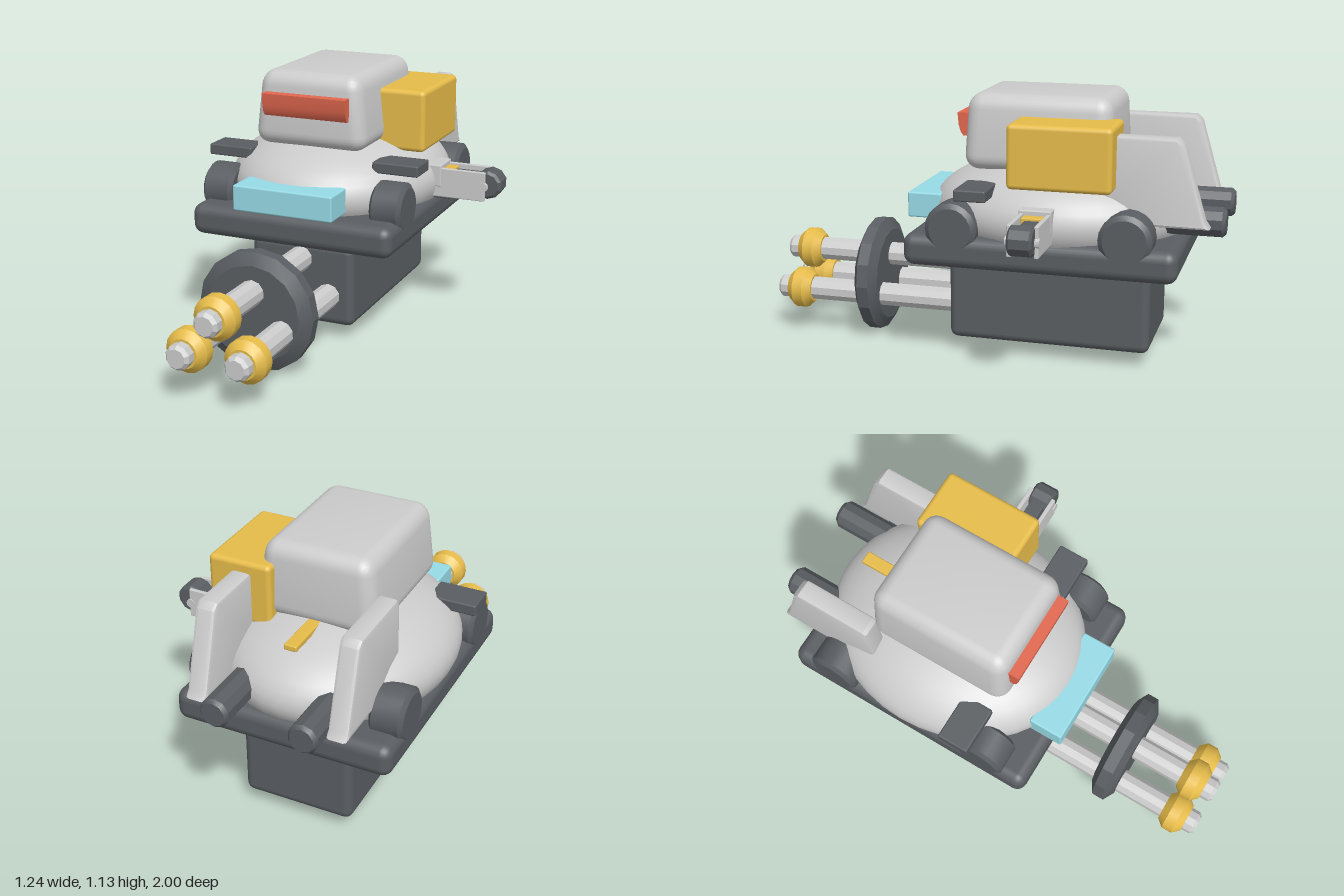
import * as THREE from 'three';
import { mergeVertices, toCreasedNormals } from 'three/addons/utils/BufferGeometryUtils.js';
import { RoundedBoxGeometry } from 'three/addons/geometries/RoundedBoxGeometry.js';

const CX = -0.133; // symmetry axis of the hull

const mat = (color) => new THREE.MeshStandardMaterial({ color });
const GREY = mat(0xcccccc), DARK = mat(0x5a5e62), YELLOW = mat(0xe6bc4a);
const RED = mat(0xe2684f), CYAN = mat(0x97dbe6);

export function createModel() {
  const model = new THREE.Group();
  model.name = 'hoverTank';

  const add = (name, geo, material, x = 0, y = 0, z = 0, parent = model) => {
    const mesh = new THREE.Mesh(geo, material);
    mesh.name = name;
    mesh.position.set(x, y, z);
    parent.add(mesh);
    return mesh;
  };

  // Rounded box given by its min and max corners
  const box = (name, material, [x0, y0, z0], [x1, y1, z1], r = 0.01, seg = 2, parent = model) =>
    add(name, new RoundedBoxGeometry(x1 - x0, y1 - y0, z1 - z0, seg, r), material,
      (x0 + x1) / 2, (y0 + y1) / 2, (z0 + z1) / 2, parent);

  // Turned part along +z; the profile is a list of [radius, z]
  const turned = (profile, sides, crease = 0.6) => {
    const points = profile.map(([r, z]) => new THREE.Vector2(r, z));
    const geo = new THREE.LatheGeometry(points, sides);
    geo.rotateX(Math.PI / 2);
    return toCreasedNormals(geo, crease);
  };

  // Side silhouette in (z, y), extruded across x with a small bevel
  const sideExtrude = (outline, width, bevel) => {
    const shape = new THREE.Shape(outline.map(([z, y]) => new THREE.Vector2(-z, y)));
    const geo = new THREE.ExtrudeGeometry(shape, {
      depth: width - 2 * bevel, bevelEnabled: bevel > 0, bevelSize: bevel,
      bevelThickness: bevel, bevelOffset: -bevel, bevelSegments: 2,
    });
    geo.translate(0, 0, -width / 2 + bevel);
    geo.rotateY(Math.PI / 2);
    return toCreasedNormals(geo, 0.5);
  };

  // Hull: ellipsoid on a rounded deck, with a box below
  const hull = new THREE.SphereGeometry(1, 40, 24);
  hull.scale(0.473, 0.235, 0.56);
  add('hull', hull, GREY, CX, 0.63, -0.28);
  box('deck', DARK, [-0.59, 0.435, -0.84], [0.325, 0.57, 0.3], 0.045, 3);
  box('lowerHousing', DARK, [-0.37, 0.06, -0.705], [0.105, 0.42, 0.165], 0.035, 3);

  // Cabin: rounded box narrowing towards the roof
  let cabin = new RoundedBoxGeometry(0.52, 0.32, 0.64, 4, 0.065);
  cabin.deleteAttribute('uv');
  const p = cabin.attributes.position;
  for (let i = 0; i < p.count; i++) {
    const t = p.getY(i) / 0.32 + 0.5;
    p.setX(i, p.getX(i) * (1 - 0.13 * t));
    p.setZ(i, p.getZ(i) * (1 - 0.05 * t));
  }
  cabin.deleteAttribute('normal');
  cabin = toCreasedNormals(mergeVertices(cabin, 1e-4), 0.7);
  add('cabin', cabin, GREY, CX, 0.97, -0.22);

  // Visor and front lamp
  add('visor', sideExtrude([[0.04, 0.945], [0.11, 0.945], [0.121, 0.96], [0.13, 0.99],
    [0.135, 1.042], [0.04, 1.042]], 0.38, 0), RED, CX, 0, 0);
  box('frontLamp', CYAN, [-0.356, 0.585, 0.2], [0.093, 0.695, 0.35], 0.008);

  // Side storage box and rear handle
  box('storageBox', YELLOW, [0.035, 0.78, -0.57], [0.303, 1.045, -0.14], 0.02, 3);
  box('rearHandle', YELLOW, [-0.16, 0.815, -0.73], [-0.106, 0.84, -0.5], 0.006);

  // Parts mirrored on the hull axis
  const wheelGeo = turned([[0, -0.07], [0.09, -0.07], [0.11, -0.055], [0.11, 0.055],
    [0.09, 0.07], [0, 0.07]], 20);
  wheelGeo.rotateY(Math.PI / 2);
  const thrusterGeo = turned([[0, -0.2], [0.05, -0.2], [0.063, -0.185], [0.063, 0.1], [0, 0.1]], 10);
  const finGeo = sideExtrude([[-0.47, 0.64], [-0.945, 0.64], [-0.925, 0.67], [-0.835, 0.975],
    [-0.81, 1.0], [-0.5, 1.0], [-0.485, 0.985]], 0.085, 0.014);
  for (const s of [-1, 1]) {
    const side = s < 0 ? 'right' : 'left';
    for (const [end, z] of [['Front', 0.09], ['Rear', -0.63]])
      add(`${side}${end}Wheel`, wheelGeo, DARK, CX + s * 0.388, 0.6, z);
    add(`${side}Thruster`, thrusterGeo, DARK, CX + s * 0.183, 0.643, -0.8);
    add(`${side}Fin`, finGeo, GREY, CX + s * 0.293, 0, 0);
    box(`${side}Fender`, DARK, [CX + s * 0.385 - 0.102, 0.73, -0.07],
      [CX + s * 0.385 + 0.102, 0.778, 0.065], 0.007);
  }

  // Rotary gun: three barrels with collars through one disc
  const gun = new THREE.Group();
  gun.name = 'rotaryGun';
  model.add(gun);
  const disc = turned([[0, -0.053], [0.205, -0.053], [0.255, -0.025], [0.255, 0.025],
    [0.205, 0.053], [0, 0.053]], 16, 0.35);
  add('barrelDisc', disc, DARK, CX, 0.255, 0.562, gun);
  const barrel = turned([[0, 0.1], [0.053, 0.1], [0.053, 0.985], [0.04, 1.0], [0, 1.0]], 10, 0.35);
  const collar = turned([[0, -0.055], [0.062, -0.055], [0.091, -0.023], [0.091, 0.023],
    [0.062, 0.055], [0, 0.055]], 16, 0.5);
  for (const [x, y] of [[0, 0.348], [-0.127, 0.195], [0.127, 0.195]]) {
    add('barrel', barrel, GREY, CX + x, y, 0, gun);
    add('barrelCollar', collar, YELLOW, CX + x, y, 0.893, gun);
  }

  // Side arm: twin plates with a dark pivoting tip
  const arm = new THREE.Group();
  arm.name = 'sideArm';
  model.add(arm);
  const az = -0.277;
  box('armMount', GREY, [0.25, 0.62, az - 0.067], [0.36, 0.716, az + 0.067], 0.006, 2, arm);
  box('armLowerRail', DARK, [0.28, 0.56, az - 0.035], [0.405, 0.585, az + 0.035], 0.004, 2, arm);
  for (const s of [-1, 1])
    box('armPlate', GREY, [0.28, 0.575, az + s * 0.055 - 0.009],
      [0.555, 0.703, az + s * 0.055 + 0.009], 0.004, 2, arm);
  box('armInsert', YELLOW, [0.35, 0.6, az - 0.046], [0.405, 0.695, az + 0.046], 0.004, 2, arm);
  box('armCore', DARK, [0.4, 0.6, az - 0.032], [0.57, 0.685, az + 0.032], 0.006, 2, arm);
  const tip = turned([[0, -0.05], [0.05, -0.05], [0.062, -0.04], [0.062, 0.04], [0.05, 0.05], [0, 0.05]], 10, 0.4);
  add('armTip', tip, DARK, 0.561, 0.645, az, arm);
  add('armPivot', turned([[0, -0.069], [0.02, -0.069], [0.02, 0.069], [0, 0.069]], 12),
    GREY, 0.548, 0.638, az, arm);

  return model;
}
